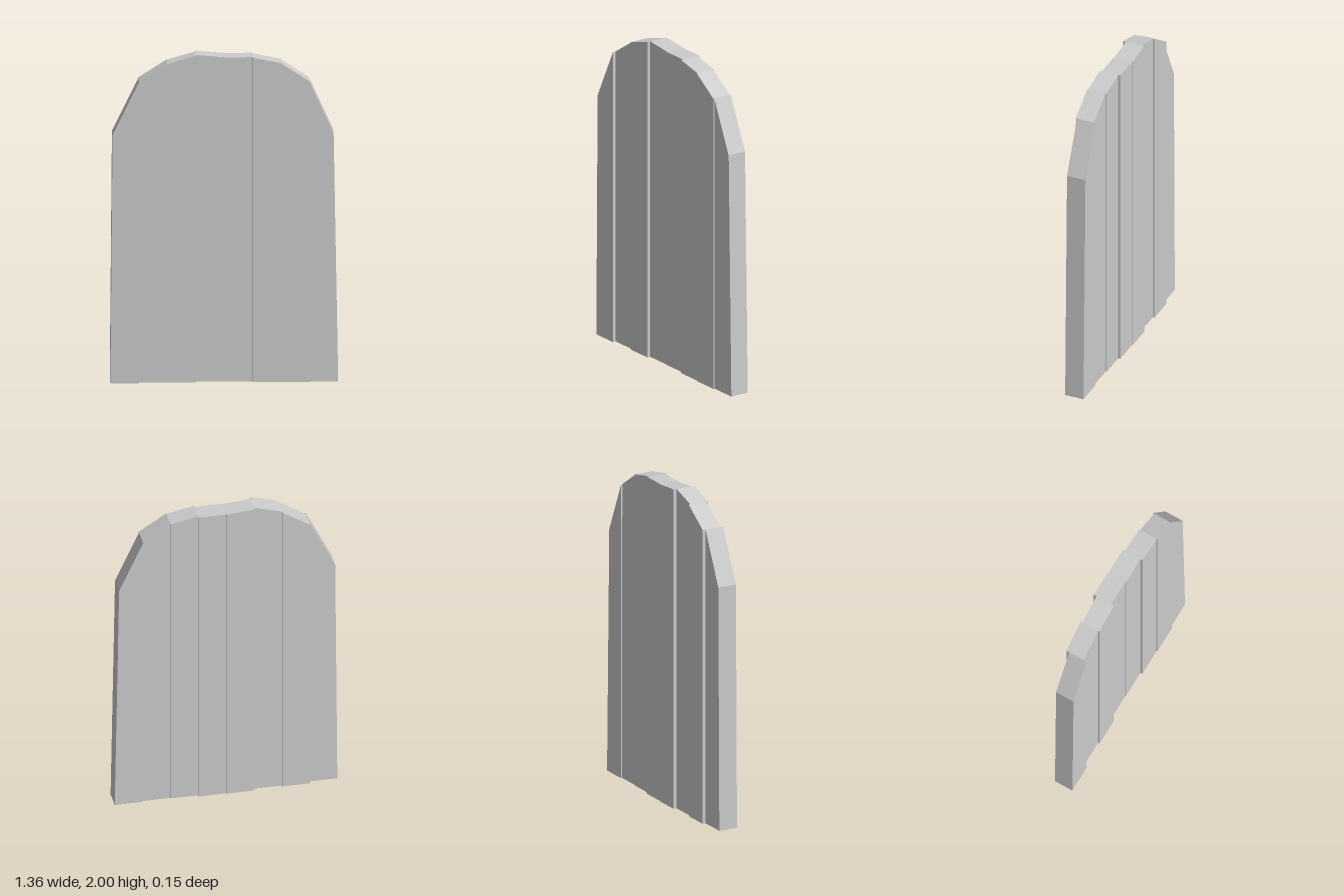
import * as THREE from 'three';

export function createModel() {
  const group = new THREE.Group();
  const material = new THREE.MeshStandardMaterial({ color: 0xcccccc, flatShading: true });
  const thickness = 0.12;

  // Arched top outline at each plank joint, and each plank's depth offset
  const top = [
    [-0.667, 1.52], [-0.51, 1.84], [-0.34, 1.95], [-0.17, 2],
    [0, 1.985], [0.17, 1.985], [0.34, 1.95], [0.507, 1.84], [0.653, 1.52],
  ];
  const offsets = [0.014, -0.006, 0.005, -0.015, -0.011, 0.003, 0.009, 0.001];

  // Vertical planks, side by side and slightly staggered in depth
  offsets.forEach((z, i) => {
    const left = -0.68 + i * 0.17;
    const shape = new THREE.Shape([
      new THREE.Vector2(left, 0),
      new THREE.Vector2(left + 0.17, 0),
      new THREE.Vector2(...top[i + 1]),
      new THREE.Vector2(...top[i]),
    ]);
    const geometry = new THREE.ExtrudeGeometry(shape, { depth: thickness, bevelEnabled: false });
    const plank = new THREE.Mesh(geometry, material);
    plank.name = `plank${i + 1}`;
    plank.position.z = z - thickness / 2;
    group.add(plank);
  });

  group.name = 'archedPlankDoor';
  return group;
}
